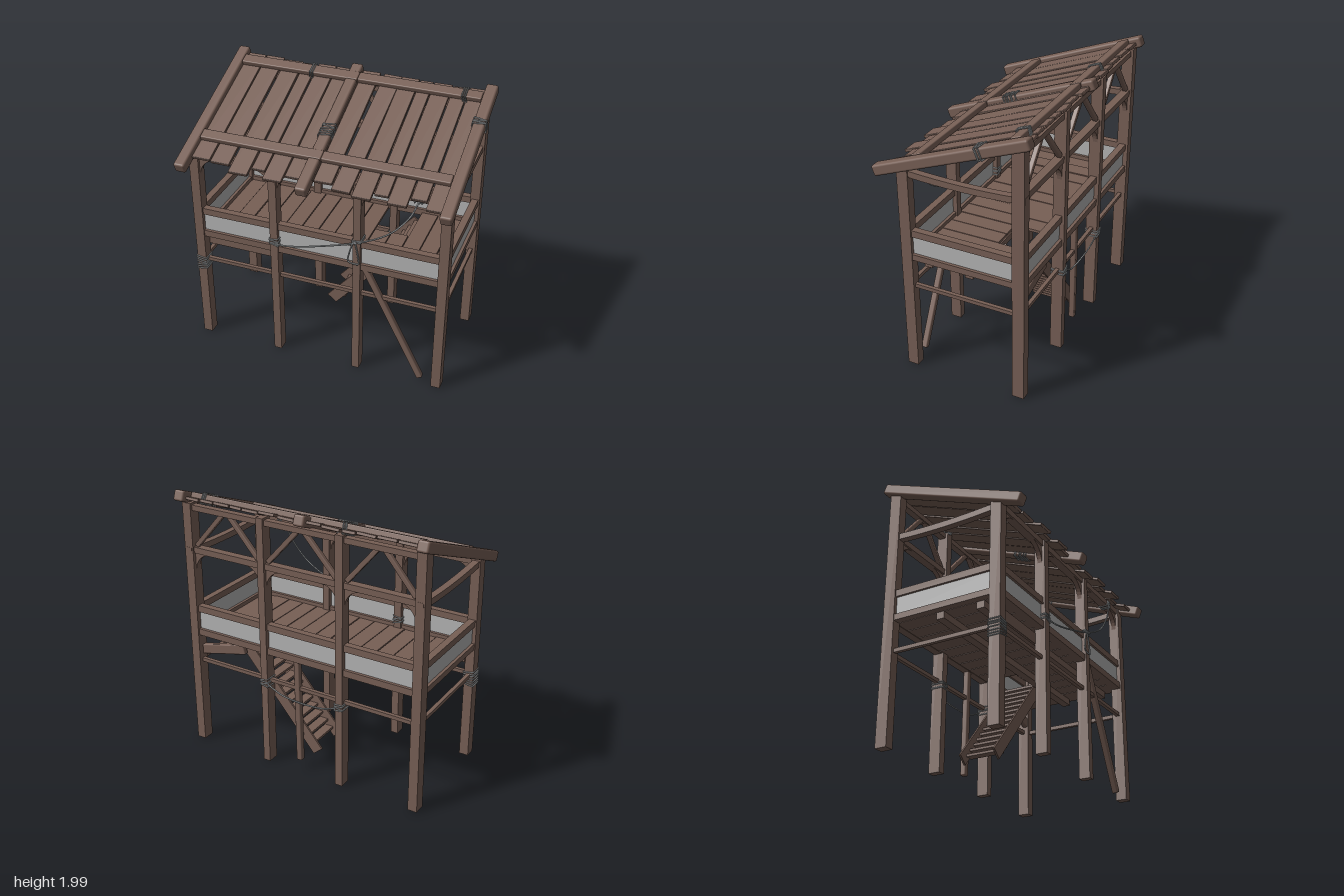
import * as THREE from 'three';
import { RoundedBoxGeometry } from 'three/addons/geometries/RoundedBoxGeometry.js';

const mat = (name, color) => Object.assign(new THREE.MeshStandardMaterial({ color }), { name });

export function createModel() {
  const wood = mat('weathered wood', 0x775f55);
  const cloth = mat('grey panel', 0xb4b4b4);
  const cord = mat('grey rope', 0x989c9e);
  const model = new THREE.Group();
  model.name = 'watchPlatform';

  let seed = 7;
  const rand = () => ((seed = (seed * 16807) % 2147483647) / 2147483647) * 2 - 1;
  const v = (x, y, z) => new THREE.Vector3(x, y, z);

  function add(name, geo, material, parent = model) {
    const m = new THREE.Mesh(geo, material);
    m.name = name;
    parent.add(m);
    return m;
  }
  // box given by its limits on each axis
  function box(name, x0, x1, y0, y1, z0, z1, material = wood, parent = model) {
    const m = add(name, new THREE.BoxGeometry(x1 - x0, y1 - y0, z1 - z0), material, parent);
    m.position.set((x0 + x1) / 2, (y0 + y1) / 2, (z0 + z1) / 2);
    return m;
  }
  // worn timber with softened edges
  function timber(name, w, h, d, x, y, z, parent = model) {
    const m = add(name, new RoundedBoxGeometry(w, h, d, 2, Math.min(w, h, d) * 0.2), wood, parent);
    m.position.set(x, y, z);
    return m;
  }
  // straight timber from a to b
  function strut(name, a, b, w, h) {
    const m = timber(name, w, h, a.distanceTo(b), 0, 0, 0);
    m.position.copy(a).add(b).multiplyScalar(0.5);
    m.lookAt(b);
    return m;
  }
  function rope(name, pts, r = 0.006, closed = false, parent = model) {
    const curve = new THREE.CatmullRomCurve3(pts, closed, 'catmullrom', 0.5);
    return add(name, new THREE.TubeGeometry(curve, 40, r, 6, closed), cord, parent);
  }
  // stacked turns of rope around a w x d timber running along local y
  function lashing(x, y, z, w, d, turns, gap, parent = model) {
    const g = new THREE.Group();
    g.name = 'ropeLashing';
    g.position.set(x, y, z);
    parent.add(g);
    const a = w / 2 + 0.004, b = d / 2 + 0.004, k = 0.85;
    for (let i = 0; i < turns; i++) {
      const h = (i - (turns - 1) / 2) * gap, t = rand() * 0.008;
      const ring = [[a, -b * k], [a, b * k], [a * k, b], [-a * k, b], [-a, b * k], [-a, -b * k], [-a * k, -b], [a * k, -b]];
      rope('ropeTurn', ring.map(([px, pz]) => v(px, h + (t * px) / a, pz)), 0.005, true, g);
    }
    return g;
  }

  const postX = [-0.92, -0.327, 0.295, 0.912];
  const postW = [0.07, 0.058, 0.055, 0.07];
  const FZ = 0.36, BZ = -0.475;

  // posts
  postX.forEach((x, i) => {
    const h = postW[i] / 2;
    box('frontPost', x - h, x + h, 0, 1.58, 0.318, 0.4);
    box('backPost', x - h, x + h, 0, 1.9, -0.518, -0.43);
  });

  // long walls: beams, railing, panels
  for (const z of [FZ, BZ]) {
    box('topBeam', -0.92, 0.912, 1.53, 1.575, z - 0.03, z + 0.03);
    box('handRail', -0.92, 0.912, 1.07, 1.12, z - 0.025, z + 0.025);
    box('sillBeam', -0.92, 0.912, 0.885, 0.935, z - 0.03, z + 0.03);
    box('railPanel', -0.92, 0.912, 0.935, 1.07, z - 0.008, z + 0.008, cloth);
    box('lowerRail', -0.92, 0.912, 0.66, 0.688, z - 0.014, z + 0.014);
  }
  box('roofBeam', -0.92, 0.912, 1.845, 1.885, BZ - 0.025, BZ + 0.025);

  // short walls
  for (const x of [-0.92, 0.912]) {
    box('sideHandRail', x - 0.025, x + 0.025, 1.07, 1.12, BZ, FZ);
    box('sideSill', x - 0.03, x + 0.03, 0.89, 0.935, BZ, FZ);
    box('sidePanel', x - 0.008, x + 0.008, 0.935, 1.07, BZ, FZ, cloth);
    box('sideLowerRail', x - 0.014, x + 0.014, 0.66, 0.688, BZ, FZ);
    const geo = new THREE.BoxGeometry(0.05, 0.045, 0.92, 1, 1, 10), p = geo.attributes.position;
    for (let i = 0; i < p.count; i++) p.setY(i, p.getY(i) - 0.02 * (1 - (p.getZ(i) / 0.46) ** 2));
    geo.computeVertexNormals();
    add('saggingSideBeam', geo, wood).position.set(x, 1.55, -0.06);
  }

  // curved corner braces and upper back struts in every bay
  const corner = new THREE.Shape();
  corner.moveTo(0, 0);
  corner.lineTo(0, -0.13);
  corner.quadraticCurveTo(0.015, -0.015, 0.13, 0);
  const braceGeo = new THREE.ExtrudeGeometry(corner, { depth: 0.035, bevelEnabled: false, curveSegments: 8 });
  for (let i = 0; i < 3; i++) {
    const l = postX[i] + postW[i] / 2, r = postX[i + 1] - postW[i + 1] / 2, mid = (l + r) / 2;
    for (const z of [FZ, BZ]) {
      add('curvedBrace', braceGeo, wood).position.set(l, 1.53, z - 0.0175);
      const m = add('curvedBrace', braceGeo, wood);
      m.rotation.y = Math.PI;
      m.position.set(r, 1.53, z + 0.0175);
    }
    strut('backStrut', v(l + 0.01, 1.58, BZ), v(mid - 0.02, 1.86, BZ), 0.035, 0.035);
    strut('backStrut', v(r - 0.01, 1.58, BZ), v(mid + 0.02, 1.86, BZ), 0.035, 0.035);
  }

  // floor boards, leaving a hatch above the stair
  const n = 14, fw = 1.8 / n;
  for (let i = 0; i < n; i++) {
    const x = -0.9 + i * fw, hatch = x > 0.2 && x < 0.5;
    box('floorBoard', x + 0.003, x + fw - 0.003, 0.888, 0.906 + rand() * 0.004, hatch ? -0.11 : -0.45, 0.335);
  }
  for (const z of [0.22, -0.09]) box('floorJoist', -0.9, 0.9, 0.838, 0.888, z - 0.03, z + 0.03);
  timber('hangingPlank', 0.58, 0.085, 0.02, -0.6, 0.822, 0.312);

  // stair
  for (const z of [-0.14, -0.418]) strut('stairStringer', v(-0.095, 0.155, z), v(0.5, 0.85, z), 0.016, 0.093);
  for (let i = 0; i < 13; i++) {
    const y = 0.2 + i * 0.0535, x = -0.075 + (y - 0.13) * 0.815;
    box('stairTread', x - 0.035, x + 0.035, y - 0.009, y + 0.009, -0.415, -0.143);
  }

  // loose supports
  strut('leaningPole', v(0.335, 0.92, FZ), v(0.785, 0.03, FZ), 0.045, 0.045);
  strut('shortBackPost', v(0.022, 0.08, BZ), v(0.034, 0.89, BZ), 0.045, 0.045);
  strut('backKneeBrace', v(0.5, 0.845, BZ + 0.02), v(0.9, 0.75, BZ + 0.02), 0.04, 0.075);

  // sloping roof: local z runs down the slope
  const roof = new THREE.Group();
  roof.name = 'roof';
  roof.position.set(0, 1.745, 0);
  roof.rotation.x = 0.368;
  model.add(roof);
  for (const x of [-0.942, -0.047, 0.942]) timber('rafter', 0.084, 0.078, 1.2, x, 0, 0, roof);
  for (const z of [0.285, -0.475]) {
    timber('batten', 0.9, 0.04, 0.08, -0.45, 0.024, z, roof);
    timber('batten', 0.9, 0.04, 0.076, 0.45, 0.022, z - 0.003, roof);
  }
  // left edge, right edge, lower end of each plank
  const planks = [
    [-0.9, -0.76, 0.48], [-0.755, -0.61, 0.49], [-0.6, -0.455, 0.545], [-0.45, -0.35, 0.48],
    [-0.345, -0.205, 0.545], [-0.2, -0.085, 0.49], [-0.085, 0, 0.48], [0, 0.135, 0.48],
    [0.15, 0.285, 0.515], [0.29, 0.425, 0.545], [0.43, 0.53, 0.49], [0.535, 0.67, 0.545],
    [0.675, 0.785, 0.47], [0.79, 0.9, 0.535]];
  planks.forEach(([a, b, end], i) => {
    const top = -0.565 + rand() * 0.01, slipped = i === 8;
    const m = timber('roofPlank', b - a - 0.003, 0.022, end - top, (a + b) / 2, -0.006 + rand() * 0.005, (end + top) / 2, roof);
    m.rotation.set(slipped ? 0.015 : rand() * 0.006, slipped ? -0.025 : rand() * 0.004, rand() * 0.03);
  });

  // lashings on the roof
  lashing(-0.047, 0, 0.06, 0.084, 0.08, 6, 0.02, roof).rotation.x = Math.PI / 2;
  lashing(0.942, 0, -0.24, 0.084, 0.08, 4, 0.014, roof).rotation.x = Math.PI / 2;
  for (const x of [-0.35, 0.785]) lashing(x, 0.012, -0.475, 0.07, 0.082, 3, 0.013, roof).rotation.z = Math.PI / 2;

  // lashings on the posts
  lashing(-0.92, 0.65, 0.359, 0.07, 0.084, 7, 0.017);
  lashing(-0.327, 0.975, 0.359, 0.058, 0.084, 4, 0.015);
  lashing(0.295, 1.125, 0.359, 0.055, 0.084, 2, 0.013);
  lashing(-0.327, 0.64, BZ, 0.058, 0.09, 4, 0.015);
  lashing(0.295, 0.66, BZ, 0.055, 0.09, 4, 0.015);
  lashing(0.715, 1.552, FZ, 0.048, 0.062, 4, 0.012).rotation.z = Math.PI / 2;

  // hanging ropes
  rope('longRope', [v(0.72, 1.54, 0.395), v(0.66, 1.4, 0.4), v(0.52, 1.24, 0.405), v(0.3, 1.12, 0.407),
    v(0, 1.02, 0.407), v(-0.2, 0.97, 0.407), v(-0.33, 0.96, 0.406)]);
  rope('ropeLoop', [v(0.28, 1.12, 0.406), v(0.235, 0.98, 0.408), v(0.25, 0.95, 0.41), v(0.305, 0.945, 0.41),
    v(0.315, 0.97, 0.408)], 0.006, true);
  rope('backRope', [v(-0.3, 0.625, -0.515), v(-0.18, 0.585, -0.512), v(0, 0.575, -0.51), v(0.15, 0.595, -0.512), v(0.27, 0.65, -0.515)]);

  return model;
}
